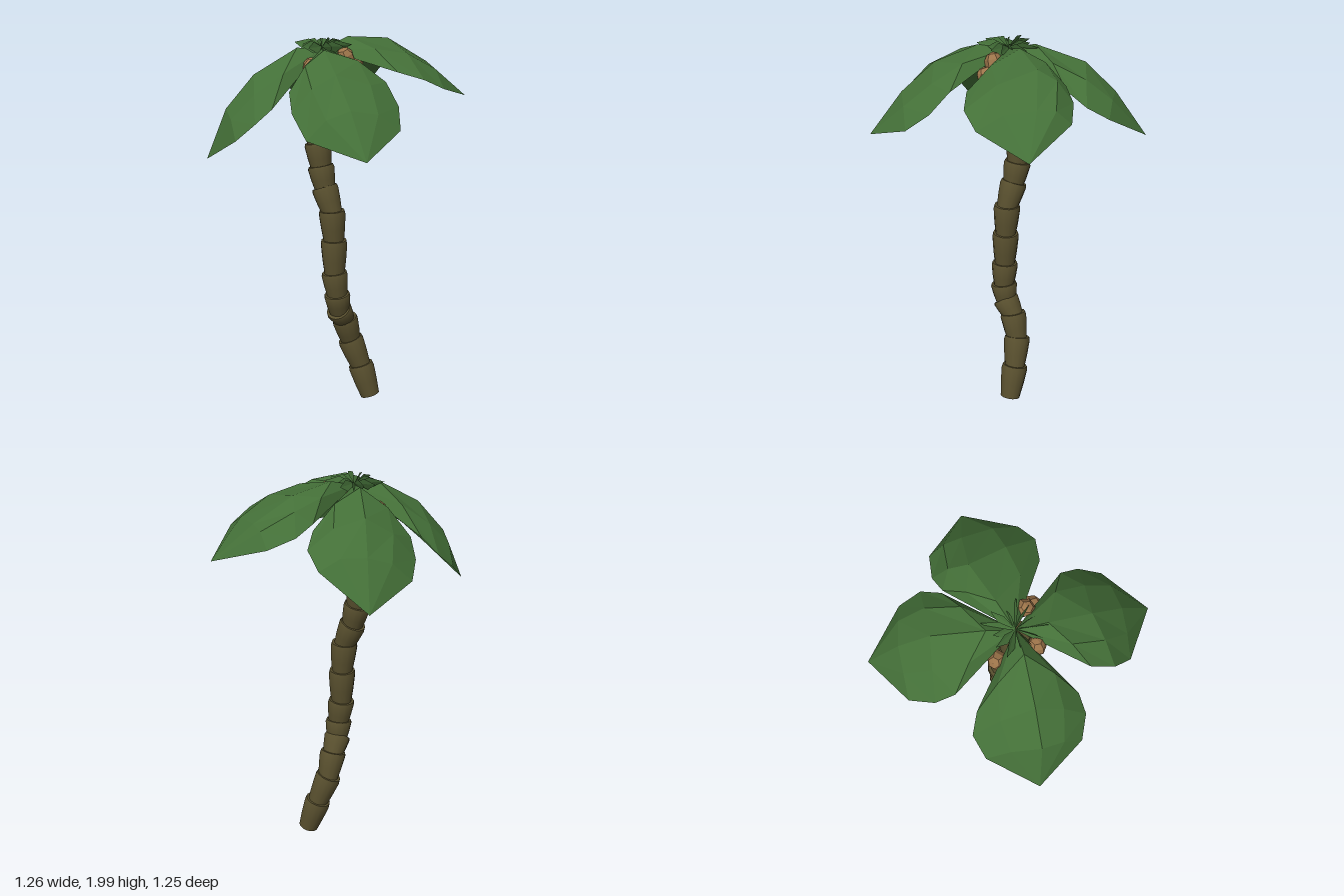
import * as THREE from 'three';
import { toCreasedNormals } from 'three/addons/utils/BufferGeometryUtils.js';

const V = (p) => new THREE.Vector3(...p);

// joints of the bent trunk, from the foot to the crown
const JOINTS = [
  [0.135, 0.025, 0.03], [0.105, 0.18, -0.01], [0.06, 0.33, -0.045], [0.02, 0.46, -0.04],
  [-0.03, 0.53, -0.02], [-0.045, 0.62, -0.015], [-0.055, 0.74, -0.025], [-0.055, 0.92, -0.03],
  [-0.06, 1.08, -0.04], [-0.075, 1.2, -0.085], [-0.083, 1.31, -0.11], [-0.09, 1.43, -0.13],
  [-0.1, 1.6, -0.145], [-0.1, 1.74, -0.09], [-0.1, 1.89, -0.06],
];

// each leaf: left edge, ridge and right edge at three stations, then the tip
const LEAVES = [
  { name: 'rightFrontLeaf',
    left: [[0.29, 1.86, -0.19], [0.39, 1.81, -0.18], [0.51, 1.76, -0.11]],
    ridge: [[0.05, 1.99, -0.06], [0.28, 1.965, -0.04], [0.46, 1.84, 0.05]],
    right: [[0.135, 1.85, 0.265], [0.25, 1.81, 0.33], [0.375, 1.75, 0.325]],
    tip: [0.63, 1.66, 0.17] },
  { name: 'frontLeaf',
    left: [[0.035, 1.82, 0.31], [0.035, 1.72, 0.42], [-0.025, 1.63, 0.525]],
    ridge: [[-0.17, 1.96, 0.07], [-0.235, 1.88, 0.28], [-0.26, 1.74, 0.45]],
    right: [[-0.41, 1.79, 0.135], [-0.46, 1.71, 0.245], [-0.45, 1.6, 0.36]],
    tip: [-0.28, 1.53, 0.62] },
  { name: 'leftBackLeaf',
    left: [[-0.45, 1.69, 0.035], [-0.535, 1.62, 0.015], [-0.605, 1.53, -0.06]],
    ridge: [[-0.22, 1.95, -0.11], [-0.42, 1.82, -0.2], [-0.55, 1.65, -0.26]],
    right: [[-0.24, 1.72, -0.4], [-0.295, 1.63, -0.47], [-0.4, 1.54, -0.475]],
    tip: [-0.63, 1.385, -0.33] },
  { name: 'backLeaf',
    left: [[-0.125, 1.76, -0.435], [-0.075, 1.68, -0.52], [0.03, 1.62, -0.6]],
    ridge: [[-0.03, 1.97, -0.18], [0.13, 1.9, -0.38], [0.23, 1.76, -0.5]],
    right: [[0.295, 1.83, -0.195], [0.385, 1.77, -0.255], [0.415, 1.7, -0.365]],
    tip: [0.335, 1.54, -0.625] },
];
const CROWN = [-0.1, 1.94, -0.065];

const NUTS = [
  [-0.03, 1.905, 0.045], [-0.02, 1.85, 0.085], [0.03, 1.875, 0.02],
  [-0.13, 1.83, -0.195], [-0.195, 1.86, -0.015],
];

// flat-faced surface from a list of corner points, three per face
function facets(points) {
  const g = new THREE.BufferGeometry().setFromPoints(points);
  g.computeVertexNormals();
  return g;
}

// leaf with a raised column halfway between ridge and each edge
function leafGeometry({ left, ridge, right, tip }) {
  const rows = ridge.map((r, i) => {
    const [a, m, b] = [V(left[i]), V(r), V(right[i])];
    const raised = (e) => {
      const p = e.clone().lerp(m, 0.45);
      p.y += 0.035;
      return p;
    };
    return [a, raised(a), m, raised(b), b];
  });
  const pts = [];
  const base = V(CROWN), end = V(tip);
  for (let j = 0; j < 4; j++) {
    pts.push(base, rows[0][j + 1], rows[0][j]);
    for (let i = 0; i < 2; i++) {
      const [p, q, r, s] = [rows[i][j], rows[i][j + 1], rows[i + 1][j + 1], rows[i + 1][j]];
      pts.push(p, q, r, p, r, s);
    }
    pts.push(rows[2][j], rows[2][j + 1], end);
  }
  return facets(pts);
}

export function createModel() {
  const bark = new THREE.MeshStandardMaterial({ color: 0x584f2e });
  const green = new THREE.MeshStandardMaterial({ color: 0x447038, side: THREE.DoubleSide, flatShading: true });
  const shell = new THREE.MeshStandardMaterial({ color: 0x9c744a, flatShading: true });
  bark.name = 'bark';
  green.name = 'leafGreen';
  shell.name = 'nutBrown';

  const model = new THREE.Group();
  const add = (parent, name, geometry, material) => {
    const mesh = new THREE.Mesh(geometry, material);
    mesh.name = name;
    parent.add(mesh);
    return mesh;
  };
  const group = (name) => {
    const g = new THREE.Group();
    g.name = name;
    model.add(g);
    return g;
  };

  // trunk: overlapping cups, each flaring upward
  const trunk = group('trunk');
  const up = new THREE.Vector3(0, 1, 0);
  for (let i = 0; i < JOINTS.length - 1; i++) {
    const a = V(JOINTS[i]), b = V(JOINTS[i + 1]);
    const dir = b.clone().sub(a);
    const h = dir.length() + 0.02;
    const profile = [[0, 0], [0.052, 0], [0.063, 0.45], [0.07, 0.88], [0.066, 1], [0, 1]]
      .map(([r, t]) => new THREE.Vector2(r, t * h));
    const cup = add(trunk, 'trunkSegment', toCreasedNormals(new THREE.LatheGeometry(profile, 14), 0.7), bark);
    cup.position.copy(a).addScaledVector(dir.normalize(), -0.01);
    cup.quaternion.setFromUnitVectors(up, dir);
  }

  // big drooping leaves
  const leaves = group('leaves');
  for (const leaf of LEAVES) add(leaves, leaf.name, leafGeometry(leaf), green);

  // tuft of short steep blades at the crown
  const tuft = group('crownTuft');
  for (let i = 0; i < 13; i++) {
    const a = (i / 13) * Math.PI * 2 + 0.2;
    const len = 0.1 + 0.06 * ((i * 5) % 7) / 6;
    const at = (d, turn, y) => new THREE.Vector3(
      CROWN[0] + Math.cos(a + turn) * d, y, CROWN[2] + Math.sin(a + turn) * d);
    const root = at(0, 0, 1.95), end = at(len, 0, 1.965);
    const top = at(len * 0.5, 0.12, 1.985), low = at(len * 0.55, -0.25, 1.925);
    add(tuft, 'tuftBlade', facets([root, top, end, root, end, low]), green);
  }

  // nuts hanging under the leaves
  const nuts = group('nuts');
  NUTS.forEach((p, i) => {
    const nut = add(nuts, 'nut', new THREE.SphereGeometry(0.048, 6, 5), shell);
    nut.position.set(...p);
    nut.rotation.set(i * 0.9, i * 1.3, 0.4);
    nut.scale.y = 1.15;
  });

  return model;
}
